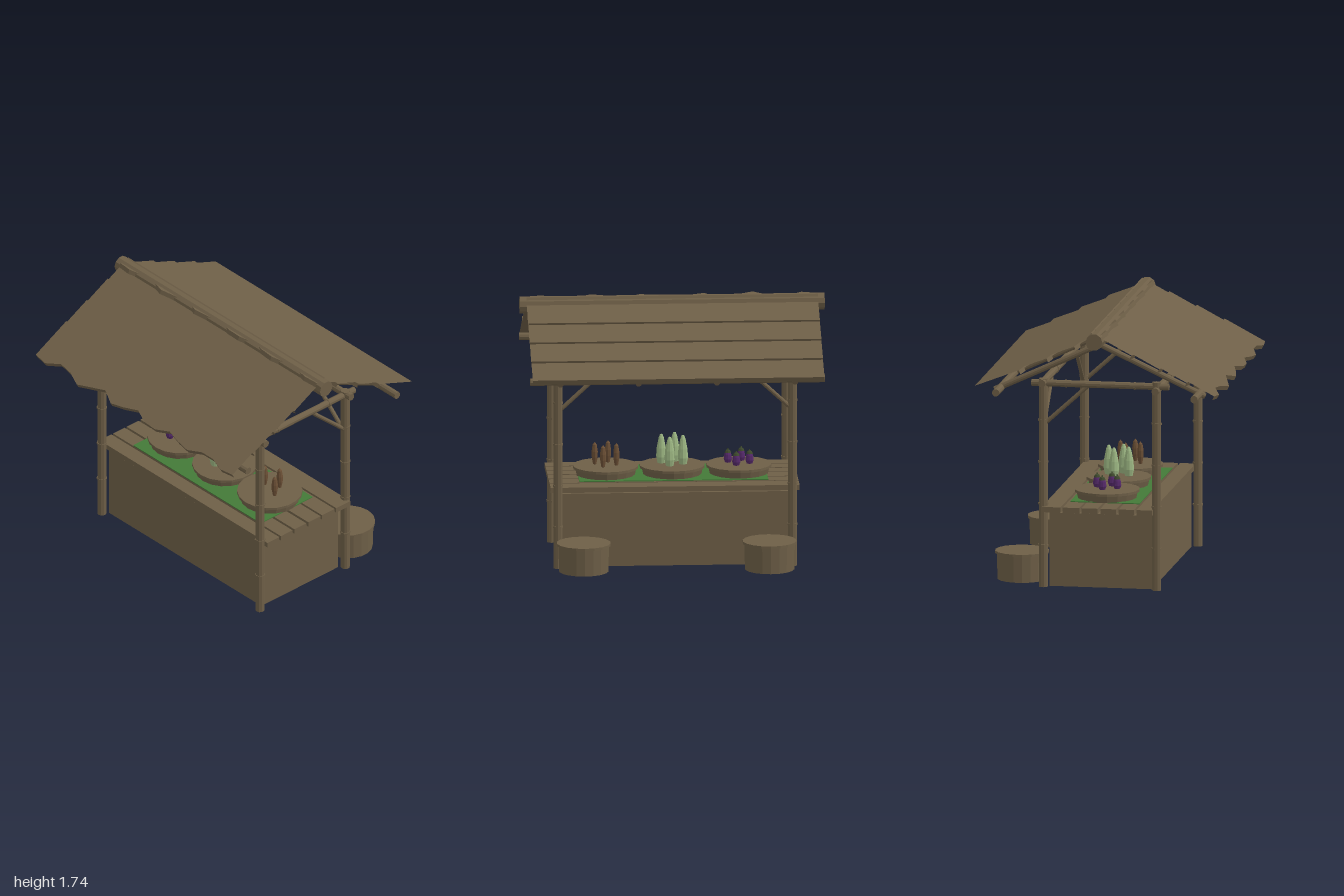
import * as THREE from 'three';

const mat = (name, color) => {
  const m = new THREE.MeshStandardMaterial({ color });
  m.name = name;
  return m;
};

export function createModel() {
  const wood = mat('weathered wood', 0x6e5f47);
  const cloth = mat('green cloth', 0x437a38);
  const purple = mat('aubergine purple', 0x55296a);
  const capGreen = mat('stalk green', 0x3f4a2e);
  const paleGreen = mat('pale green', 0x9db783);
  const rootBrown = mat('root brown', 0x6b4f35);

  const root = new THREE.Group();
  root.name = 'marketStall';

  const add = (name, geometry, material, x = 0, y = 0, z = 0, parent = root) => {
    const g = geometry.index ? geometry.toNonIndexed() : geometry;
    g.computeVertexNormals(); // faceted
    const m = new THREE.Mesh(g, material);
    m.name = name;
    m.position.set(x, y, z);
    parent.add(m);
    return m;
  };
  const box = (name, x0, x1, y0, y1, z0, z1, material = wood) =>
    add(name, new THREE.BoxGeometry(x1 - x0, y1 - y0, z1 - z0), material,
      (x0 + x1) / 2, (y0 + y1) / 2, (z0 + z1) / 2);
  const lathe = (profile, sides) =>
    new THREE.LatheGeometry(profile.map(([r, y]) => new THREE.Vector2(r, y)), sides);

  // Bamboo pole between two points, with raised nodes at given fractions
  const pole = (name, a, b, r, nodes = []) => {
    const A = new THREE.Vector3(...a), B = new THREE.Vector3(...b);
    const dir = B.clone().sub(A), len = dir.length();
    const g = new THREE.Group();
    g.name = name;
    g.position.copy(A);
    g.quaternion.setFromUnitVectors(new THREE.Vector3(0, 1, 0), dir.normalize());
    root.add(g);
    add(name + 'Shaft', new THREE.CylinderGeometry(r, r, len, 10), wood, 0, len / 2, 0, g);
    for (const f of nodes)
      add(name + 'Node', new THREE.CylinderGeometry(r * 1.14, r * 1.14, 0.012, 10), wood, 0, len * f, 0, g);
  };

  const PX = 0.77, ZF = 0.367, ZB = -0.388;

  // Frame: posts, side beams and braces on both sides
  for (const s of [-1, 1]) {
    const x = s * PX;
    for (const z of [ZF, ZB]) pole('post', [x, 0, z], [x, 1.39, z], 0.03, [0.2, 0.4, 0.6, 0.8]);
    pole('sideBeam', [x, 1.36, 0.45], [x, 1.36, -0.465], 0.023, [0.25, 0.75]);
    pole('sideBrace', [x, 1.08, ZB], [x, 1.35, -0.09], 0.014);
    pole('backBrace', [x, 1.05, ZB], [s * 0.46, 1.335, ZB], 0.014);
  }
  pole('frontBeam', [-0.83, 1.335, ZF], [0.83, 1.335, ZF], 0.025, [0.3, 0.7]);
  pole('backBeam', [-0.83, 1.365, ZB], [0.83, 1.365, ZB], 0.025, [0.3, 0.7]);

  // Roof frame
  pole('ridgePole', [-1, 1.685, -0.01], [1, 1.685, -0.01], 0.056);
  for (const x of [-PX, -0.257, 0.257, PX]) {
    pole('frontRafter', [x, 1.63, -0.01], [x, 1.306, 0.69], 0.02);
    pole('backRafter', [x, 1.63, -0.01], [x, 1.306, -0.71], 0.02);
  }
  pole('frontPurlin', [-0.967, 1.32, 0.65], [0.967, 1.32, 0.65], 0.025);
  pole('backPurlin', [-0.967, 1.32, -0.67], [0.967, 1.32, -0.67], 0.025);

  // Thatch row: sheet open at its ends, ragged along its +z edge
  const wave = [5, 20, -25, -10, 30, 0, -30, 20, 0, -30, 10, 15, -20, 5, 20, -15, -15, 15, 5];
  const thatchRow = (name, ragged, straight) => {
    const d = new THREE.Vector2(ragged[0] - straight[0], ragged[1] - straight[1]).normalize();
    const h = 0.015, nz = -d.y * h, ny = d.x * h;
    const sections = wave.map((w, i) => {
      const x = -0.957 + (1.914 * i) / (wave.length - 1);
      const z = ragged[0] + w / 1000, y = ragged[1] + (w / 1000) * (d.y / d.x);
      return [
        [x, y + ny, z + nz], [x, straight[1] + ny, straight[0] + nz],
        [x, straight[1] - ny, straight[0] - nz], [x, y - ny, z - nz],
      ];
    });
    const pos = [];
    for (let i = 0; i < sections.length - 1; i++)
      for (let k = 0; k < 4; k++) {
        const s = sections[i], t = sections[i + 1], n = (k + 1) % 4;
        pos.push(...s[k], ...t[k], ...t[n], ...s[k], ...t[n], ...s[n]);
      }
    const g = new THREE.BufferGeometry();
    g.setAttribute('position', new THREE.Float32BufferAttribute(pos, 3));
    add(name, g, wood);
  };
  for (let i = 0; i < 4; i++) {
    const z = 0.221 + i * 0.183, y = 1.588 - i * 0.0847;
    thatchRow('frontThatchRow', [z, y], [z - 0.265, y + 0.265 * 0.53]);
    const zb = 0.035 - i * 0.184, yb = 1.715 - i * 0.0855;
    thatchRow('backThatchRow', [zb, yb], [zb - 0.288, yb - 0.288 * 0.385]);
  }

  // Counter with slatted top and cloth
  box('counterBody', -0.742, 0.742, 0, 0.49, -0.35, 0.33);
  const slats = [[0.24, 0.345], [0.122, 0.225], [0, 0.105], [-0.125, -0.018], [-0.25, -0.14], [-0.39, -0.265]];
  for (const [z0, z1] of slats) box('counterSlat', -0.817, 0.817, 0.505, 0.54, z0, z1);
  box('cloth', -0.62, 0.62, 0.54, 0.546, -0.235, 0.225, cloth);

  // Trays and their produce
  const TZ = -0.022;
  const trayShape = lathe([[0, 0], [0.193, 0], [0.203, 0.045], [0.215, 0.045], [0.215, 0.062], [0, 0.062]], 18);
  const fruit = {
    aubergine: [purple, [[0, 0], [0.02, 0.006], [0.028, 0.028], [0.024, 0.058], [0.016, 0.08], [0, 0.086]]],
    gourd: [paleGreen, [[0, 0], [0.026, 0.008], [0.035, 0.05], [0.031, 0.11], [0.018, 0.175], [0.009, 0.198], [0, 0.202]]],
    rootVegetable: [rootBrown, [[0, 0], [0.012, 0.005], [0.02, 0.05], [0.021, 0.09], [0.014, 0.135], [0, 0.152]]],
  };
  const spots = [[0.07, 0.02], [-0.02, 0.07], [-0.07, -0.02], [0.02, -0.07]];
  Object.entries(fruit).forEach(([name, [material, profile]], i) => {
    const cx = (i - 1) * 0.437;
    add('tray', trayShape, wood, cx, 0.542, TZ);
    for (const [dx, dz] of spots) {
      add(name, lathe(profile, 10), material, cx + dx, 0.603, TZ + dz);
      if (name === 'aubergine')
        add('stalkCap', lathe([[0.022, 0.07], [0.015, 0.086], [0.005, 0.09], [0.004, 0.1], [0, 0.1]], 8),
          capGreen, cx + dx, 0.603, TZ + dz);
    }
  });

  // Stools behind the counter
  const stoolShape = lathe([[0, 0], [0.163, 0], [0.167, 0.173], [0.178, 0.173], [0.178, 0.19], [0, 0.19]], 18);
  for (const s of [-1, 1]) add('stool', stoolShape, wood, s * 0.61, 0.018, -0.558);

  return root;
}
